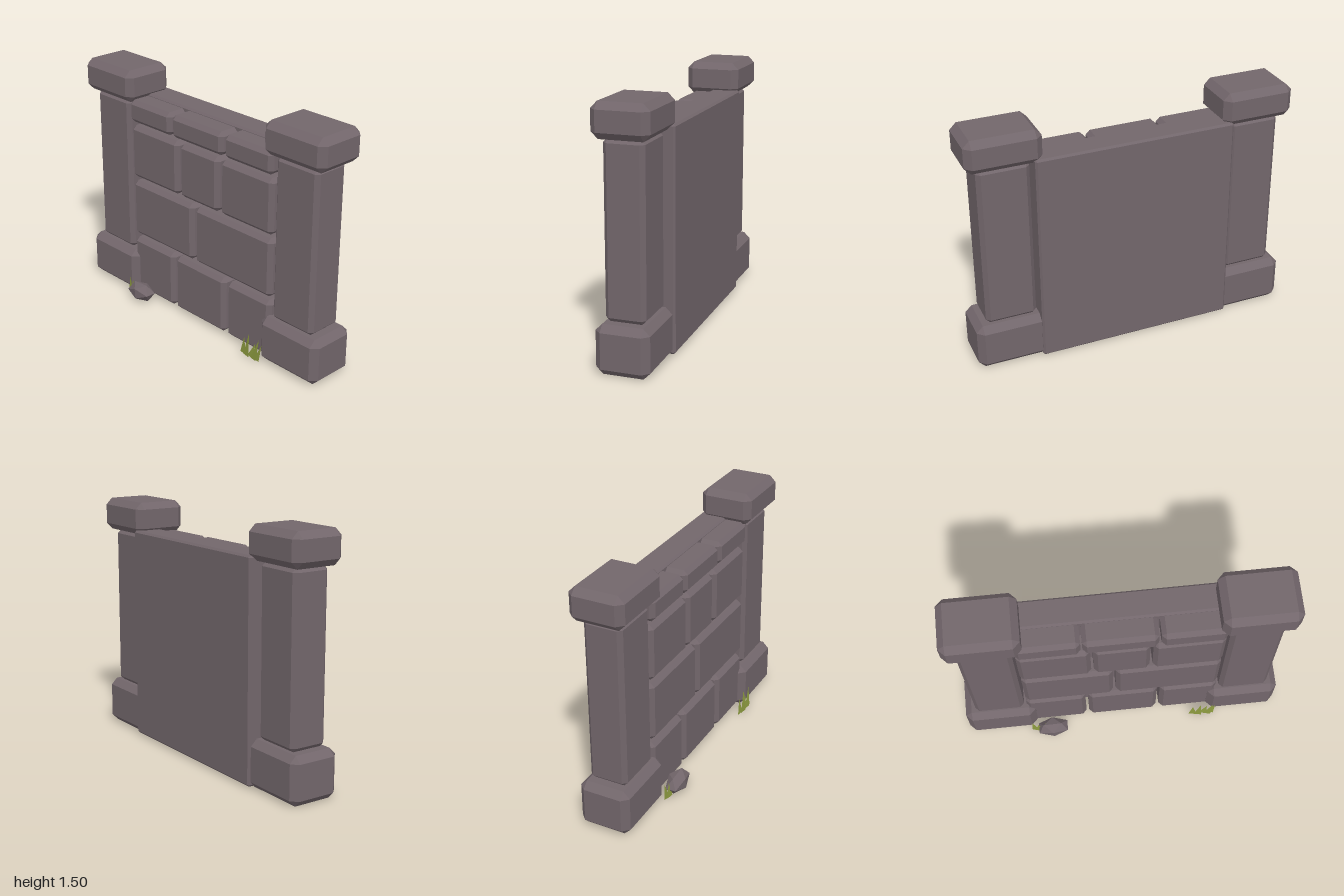
import * as THREE from 'three';
import { ConvexGeometry } from 'three/addons/geometries/ConvexGeometry.js';

const stone = new THREE.MeshStandardMaterial({ color: 0x72666b, flatShading: true });
stone.name = 'stone';
const grass = new THREE.MeshStandardMaterial({ color: 0x8a983e, flatShading: true, side: THREE.DoubleSide });
grass.name = 'grass';

// Box between two corners with every edge chamfered by b
function chamferBox(name, [x0, y0, z0], [x1, y1, z1], b) {
  const h = [(x1 - x0) / 2, (y1 - y0) / 2, (z1 - z0) / 2];
  const points = [];
  for (const sx of [-1, 1]) for (const sy of [-1, 1]) for (const sz of [-1, 1]) {
    for (let axis = 0; axis < 3; axis++) {
      const p = h.map((v, i) => (i === axis ? v : v - b));
      points.push(new THREE.Vector3(sx * p[0], sy * p[1], sz * p[2]));
    }
  }
  const mesh = new THREE.Mesh(new ConvexGeometry(points), stone);
  mesh.position.set((x0 + x1) / 2, (y0 + y1) / 2, (z0 + z1) / 2);
  mesh.name = name;
  return mesh;
}

// Pillar on the +x or -x side: base, shaft and cap
function pillar(side) {
  const g = new THREE.Group();
  g.name = side > 0 ? 'leftPillar' : 'rightPillar';
  g.add(
    chamferBox('pillarBase', [-0.223, 0, -0.195], [0.223, 0.29, 0.12], 0.04),
    chamferBox('pillarShaft', [-0.155, 0.29, -0.155], [0.155, 1.3, 0.08], 0.025),
    chamferBox('pillarCap', [-0.223, 1.3, -0.205], [0.223, 1.5, 0.127], 0.04)
  );
  g.position.x = side * 0.777;
  return g;
}

// Tuft of flat, pointed blades: [base x, base width, tip x, tip y, z]
function tuft(name, blades) {
  const pos = [];
  for (const [x, w, tx, ty, z] of blades) {
    pos.push(x - w / 2, 0.01, z, x + w / 2, 0.01, z + 0.008, tx, ty, z - 0.006);
  }
  const geo = new THREE.BufferGeometry();
  geo.setAttribute('position', new THREE.Float32BufferAttribute(pos, 3));
  geo.computeVertexNormals();
  const mesh = new THREE.Mesh(geo, grass);
  mesh.name = name;
  return mesh;
}

export function createModel() {
  const model = new THREE.Group();
  model.name = 'stoneWall';

  model.add(pillar(1), pillar(-1));
  model.add(chamferBox('backSlab', [-0.61, 0.01, -0.21], [0.61, 1.33, -0.04], 0.012));

  // Brick courses: height range, front depth and the x range of each brick
  const courses = [
    { y: [0.012, 0.38], z: 0.078, xs: [[-0.607, -0.23], [-0.213, 0.227], [0.245, 0.605]] },
    { y: [0.405, 0.777], z: 0.078, xs: [[-0.605, -0.052], [-0.035, 0.605]] },
    { y: [0.802, 1.147], z: 0.08, xs: [[-0.607, -0.18], [-0.165, 0.168], [0.185, 0.605]] },
    { y: [1.172, 1.315], z: 0.092, xs: [[-0.607, -0.232], [-0.222, 0.212], [0.225, 0.605]] },
  ];
  for (const { y, z, xs } of courses) {
    for (const [x0, x1] of xs) {
      model.add(chamferBox('brick', [x0, y[0], -0.07], [x1, y[1], z], 0.026));
    }
  }

  // Loose rock by the wall
  const rock = new THREE.Mesh(new THREE.IcosahedronGeometry(1, 0), stone);
  rock.name = 'rock';
  rock.scale.set(0.11, 0.064, 0.064);
  rock.rotation.z = 0.08;
  rock.position.set(-0.457, 0.063, 0.155);
  model.add(rock);

  // Grass tufts
  model.add(tuft('leftGrass', [
    [-0.575, 0.05, -0.588, 0.115, 0.142],
    [-0.555, 0.05, -0.55, 0.1, 0.15],
    [-0.53, 0.05, -0.505, 0.11, 0.145],
    [-0.51, 0.04, -0.53, 0.085, 0.138],
  ]));
  model.add(tuft('rightGrass', [
    [0.465, 0.055, 0.462, 0.115, 0.14],
    [0.495, 0.05, 0.51, 0.165, 0.148],
    [0.525, 0.055, 0.555, 0.11, 0.14],
    [0.555, 0.05, 0.59, 0.15, 0.148],
    [0.575, 0.045, 0.607, 0.12, 0.142],
  ]));

  return model;
}
